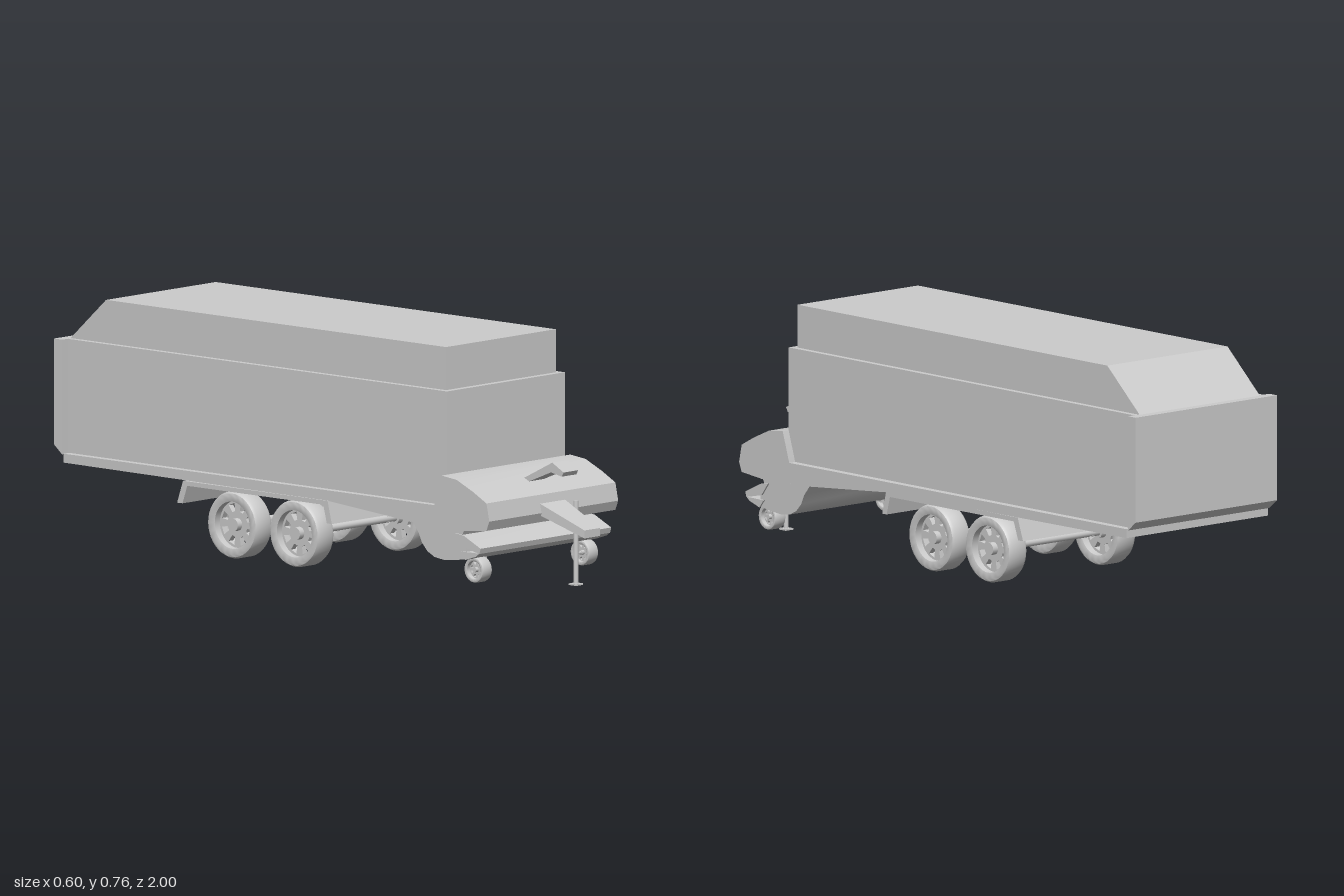
import * as THREE from 'three';
import { toCreasedNormals } from 'three/addons/utils/BufferGeometryUtils.js';

const grey = new THREE.MeshStandardMaterial({ color: 0xcccccc });

function add(parent, name, geometry, x = 0, y = 0, z = 0) {
  const mesh = new THREE.Mesh(geometry, grey);
  mesh.name = name;
  mesh.position.set(x, y, z);
  parent.add(mesh);
  return mesh;
}

// Extrudes a side profile of [z, y] points across the width from x0 to x1
function profile(points, x0, x1) {
  const shape = new THREE.Shape(points.map(([z, y]) => new THREE.Vector2(z, y)));
  const geometry = new THREE.ExtrudeGeometry(shape, { depth: x1 - x0, bevelEnabled: false });
  geometry.rotateY(-Math.PI / 2).translate(x1, 0, 0);
  return toCreasedNormals(geometry, 0.5);
}

// Bar of round section along x
const barX = (radius, length) => new THREE.CylinderGeometry(radius, radius, length, 16).rotateZ(Math.PI / 2);

// Wheel of radius 0.105 turning about x
function createWheel(name) {
  const wheel = new THREE.Group();
  wheel.name = name;
  const section = [
    [0.074, -0.034], [0.092, -0.039], [0.1, -0.036], [0.105, -0.026],
    [0.105, 0.026], [0.1, 0.036], [0.092, 0.039], [0.074, 0.034], [0.074, -0.034],
  ].map(([r, h]) => new THREE.Vector2(r, h));
  const tyre = toCreasedNormals(new THREE.LatheGeometry(section, 40), 0.7);
  add(wheel, 'tyre', tyre.rotateZ(Math.PI / 2));

  // Rim disc with eight slots
  const disc = new THREE.Shape().absarc(0, 0, 0.076, 0, Math.PI * 2);
  for (let i = 0; i < 8; i++) {
    const a = (i + 0.5) * Math.PI / 4;
    const corners = [[0.042, -0.16], [0.067, -0.19], [0.067, 0.19], [0.042, 0.16]];
    disc.holes.push(new THREE.Path(corners.map(([r, d]) =>
      new THREE.Vector2(r * Math.cos(a + d), r * Math.sin(a + d)))));
  }
  const rim = new THREE.ExtrudeGeometry(disc, { depth: 0.02, bevelEnabled: false, curveSegments: 32 });
  add(wheel, 'rim', toCreasedNormals(rim.rotateY(Math.PI / 2).translate(-0.01, 0, 0), 0.5));
  add(wheel, 'hub', barX(0.02, 0.06));
  return wheel;
}

export function createModel() {
  const model = new THREE.Group();
  model.name = 'forageWagon';

  // Load box with sloped cover
  add(model, 'loadBox', new THREE.BoxGeometry(0.54, 0.36, 1.6), 0, 0.445, -0.164);
  add(model, 'cover', profile([[0.615, 0.62], [0.615, 0.76], [-0.82, 0.76], [-0.975, 0.62]], -0.251, 0.251));
  add(model, 'tailgate', profile([[-0.965, 0.265], [-0.965, 0.625], [-1, 0.625], [-1, 0.294]], -0.295, 0.295));
  add(model, 'floorFrame', profile([
    [0.64, 0.268], [-0.958, 0.268], [-0.958, 0.24], [0.16, 0.235], [0.52, 0.205], [0.64, 0.205],
  ], -0.295, 0.295));

  // Wheel cover plate spanning the underside
  add(model, 'mudguard', profile([
    [0.178, 0.165], [0.16, 0.236], [-0.45, 0.236], [-0.475, 0.165],
    [-0.452, 0.165], [-0.432, 0.222], [0.142, 0.222], [0.157, 0.165],
  ], -0.3, 0.292));

  // Front hood and pickup drum
  add(model, 'hood', profile([
    [0.6, 0.25], [0.636, 0.364], [0.7, 0.357], [0.77, 0.326], [0.826, 0.296],
    [0.838, 0.24], [0.826, 0.21], [0.73, 0.2], [0.6, 0.2],
  ], -0.295, 0.295));
  add(model, 'pickupDrum', profile([
    [0.51, 0.21], [0.73, 0.202], [0.72, 0.18], [0.74, 0.165], [0.74, 0.112], [0.69, 0.104], [0.645, 0.1],
    [0.605, 0.105], [0.575, 0.12], [0.552, 0.145], [0.538, 0.175],
  ], -0.293, 0.293));
  add(model, 'pickupFlap', profile([[0.7, 0.19], [0.735, 0.185], [0.805, 0.152], [0.8, 0.135], [0.73, 0.15]], -0.299, 0.299));
  add(model, 'lowerFlap', profile([[0.72, 0.135], [0.8, 0.136], [0.785, 0.125], [0.74, 0.11]], -0.299, 0.299));

  // Tapered drawbar
  const drawbar = new THREE.BoxGeometry(1, 1, 1);
  const p = drawbar.attributes.position;
  for (let i = 0; i < p.count; i++) {
    const tip = p.getZ(i) > 0;
    const top = p.getY(i) > 0;
    const half = tip ? 0.036 : 0.06;
    p.setXYZ(i, Math.sign(p.getX(i)) * half + 0.001, tip ? (top ? 0.2 : 0.175) : (top ? 0.278 : 0.24), tip ? 1 : 0.81);
  }
  drawbar.computeVertexNormals();
  add(model, 'drawbar', drawbar);

  // Bent arm above the hood
  add(model, 'hoseArm', profile([
    [0.715, 0.325], [0.86, 0.398], [0.908, 0.372], [0.9, 0.358], [0.855, 0.367], [0.735, 0.318],
  ], -0.031, 0.036));

  // Parking stand
  add(model, 'standLeg', new THREE.CylinderGeometry(0.008, 0.008, 0.263, 16), 0.088, 0.134, 0.85);
  add(model, 'standFoot', new THREE.BoxGeometry(0.032, 0.005, 0.032), 0.088, 0.0025, 0.85);
  add(model, 'standBracket', new THREE.BoxGeometry(0.016, 0.02, 0.04), 0.088, 0.235, 0.83);

  // Running gear
  const axles = [-0.016, -0.278];
  for (const z of axles) add(model, 'axle', barX(0.012, 0.44), 0, 0.11, z);
  for (const side of [-1, 1]) {
    for (const z of axles) {
      const wheel = createWheel('roadWheel');
      wheel.position.set(side * 0.227, 0.11, z);
      model.add(wheel);
    }
    add(model, 'bogieBeam', new THREE.BoxGeometry(0.025, 0.018, 0.28), side * 0.165, 0.11, -0.147);

    // Small pickup guide wheels
    const guide = createWheel('guideWheel');
    guide.scale.set(0.58, 0.385, 0.385);
    guide.position.set(side * 0.243, 0.075, 0.743);
    model.add(guide);
    add(model, 'guideAxle', barX(0.006, 0.05), side * 0.225, 0.075, 0.743);
    add(model, 'guideBracket', new THREE.BoxGeometry(0.008, 0.07, 0.016), side * 0.211, 0.1, 0.74);
  }
  return model;
}
